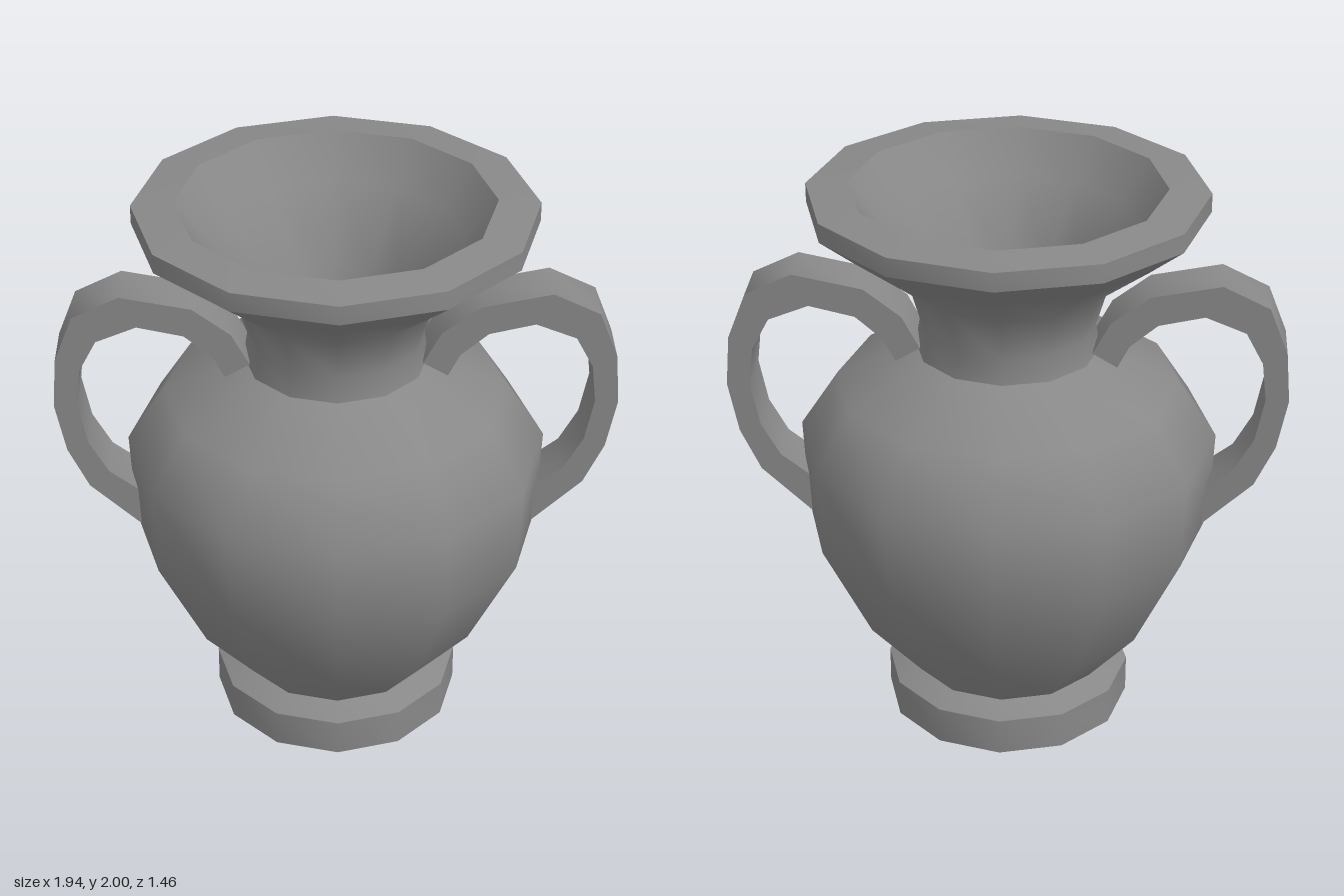
import * as THREE from 'three';
import { toCreasedNormals } from 'three/addons/utils/BufferGeometryUtils.js';

const material = new THREE.MeshStandardMaterial({ color: 0x888888 });
const points = (list) => list.map(([x, y]) => new THREE.Vector2(x, y));

function part(name, geometry) {
  const mesh = new THREE.Mesh(toCreasedNormals(geometry, 0.85), material);
  mesh.name = name;
  return mesh;
}

// Twelve-sided vessel: foot, belly, neck, flared mouth and hollow throat
function createVessel() {
  const profile = points([
    [0, 0], [0.438, 0], [0.438, 0.135], [0.353, 0.17], // foot
    [0.538, 0.39], [0.714, 0.76], [0.728, 1.08], [0.593, 1.285], [0.318, 1.412], // belly
    [0.303, 1.5], [0.352, 1.665], [0.553, 1.82], [0.679, 1.922], // neck and flare
    [0.679, 1.988], [0.537, 2], // rim
    [0.435, 1.86], [0.25, 1.62], [0.235, 1.5], [0.2, 1.41], [0, 1.41], // throat
  ]);
  return part('vessel', new THREE.LatheGeometry(profile, 12));
}

// Flat strap handle, cut from a curved outline
function createHandle(name) {
  const outer = [
    [0.295, 1.43], [0.355, 1.545], [0.485, 1.645], [0.728, 1.693], [0.889, 1.615],
    [0.954, 1.45], [0.969, 1.27], [0.934, 1.09], [0.864, 0.94], [0.65, 0.738],
  ];
  const inner = [
    [0.38, 1.38], [0.42, 1.46], [0.515, 1.542], [0.673, 1.578], [0.813, 1.522],
    [0.873, 1.41], [0.889, 1.272], [0.859, 1.118], [0.793, 0.998], [0.62, 0.865],
  ];
  const shape = new THREE.Shape(points([...outer, ...inner.reverse()]));
  const geometry = new THREE.ExtrudeGeometry(shape, { depth: 0.186, bevelEnabled: false });
  geometry.translate(0, 0, -0.093);
  return part(name, geometry);
}

export function createModel() {
  const model = new THREE.Group();
  model.name = 'vase';
  const left = createHandle('leftHandle');
  const right = createHandle('rightHandle');
  right.rotation.y = Math.PI;
  model.add(createVessel(), left, right);
  return model;
}
